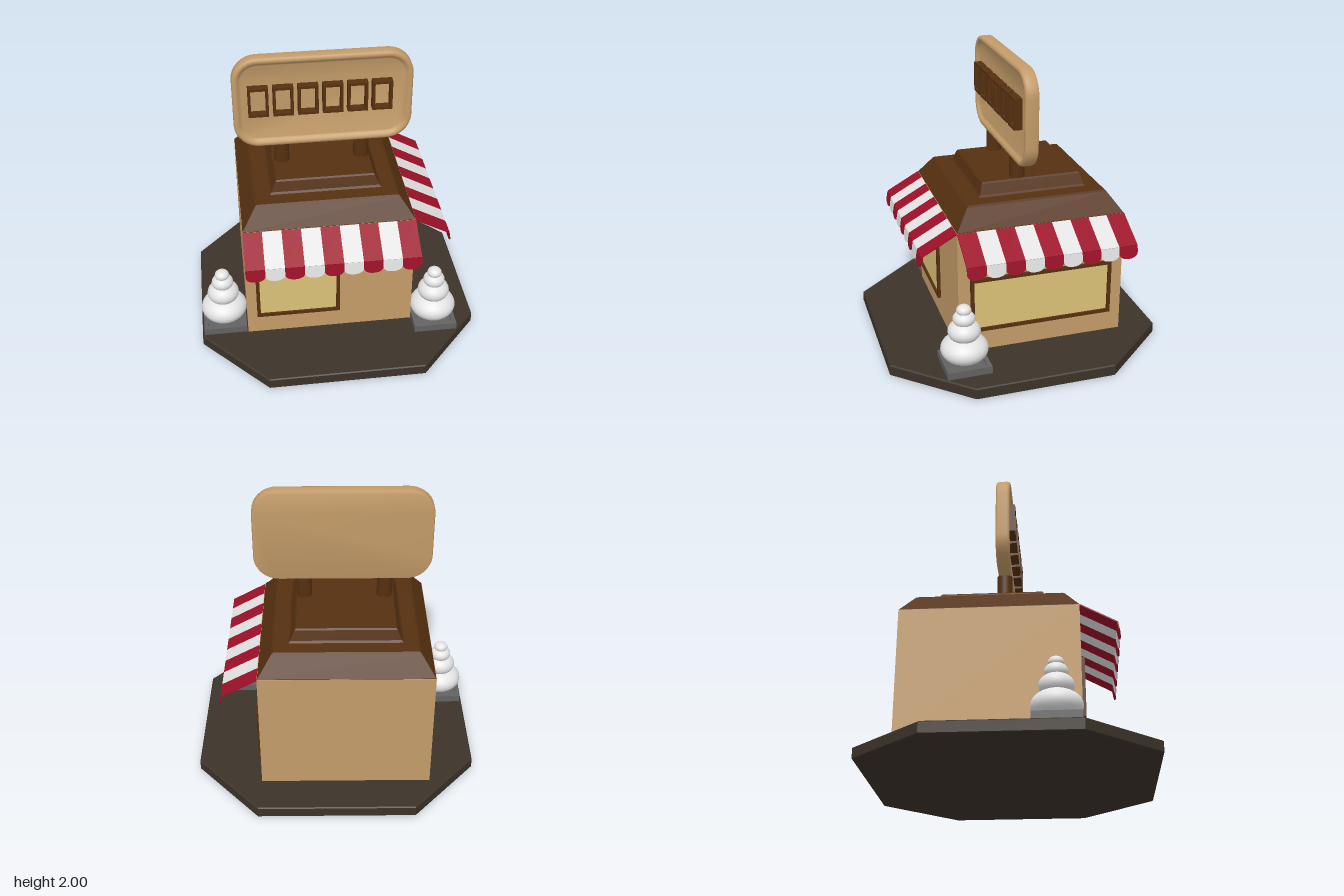
import * as THREE from 'three';
import { toCreasedNormals } from 'three/addons/utils/BufferGeometryUtils.js';

const mat = (name, color, side = THREE.FrontSide) => {
  const m = new THREE.MeshStandardMaterial({ color, side });
  m.name = name;
  return m;
};

// Rounded or chamfered rectangle at height z, counter-clockwise; n points per corner.
function ring(x0, x1, y0, y1, z, rx = 0, ry = rx, n = 1) {
  const pts = [];
  const corners = [[x1 - rx, y1 - ry], [x0 + rx, y1 - ry], [x0 + rx, y0 + ry], [x1 - rx, y0 + ry]];
  corners.forEach(([cx, cy], k) => {
    for (let i = 0; i < n; i++) {
      const a = (k + (n > 1 ? i / (n - 1) : 0.5)) * Math.PI / 2;
      pts.push([cx + rx * Math.cos(a), cy + ry * Math.sin(a), z]);
    }
  });
  return pts;
}

// Closed solid through a stack of rings.
function loft(rings, crease = 0.6) {
  const p = [];
  const tri = (a, b, c) => p.push(...a, ...b, ...c);
  const n = rings[0].length, last = rings[rings.length - 1];
  for (let i = 0; i + 1 < rings.length; i++) {
    for (let j = 0; j < n; j++) {
      const k = (j + 1) % n, lo = rings[i], hi = rings[i + 1];
      tri(lo[j], lo[k], hi[k]);
      tri(lo[j], hi[k], hi[j]);
    }
  }
  for (let j = 1; j + 1 < n; j++) {
    tri(rings[0][0], rings[0][j + 1], rings[0][j]);
    tri(last[0], last[j], last[j + 1]);
  }
  const g = new THREE.BufferGeometry();
  g.setAttribute('position', new THREE.Float32BufferAttribute(p, 3));
  return toCreasedNormals(g, crease);
}

// Rectangular frame centred on the origin, from z = 0 to z = depth.
function frameGeometry(w, h, border, depth) {
  const rect = (S, a, b) => new S([[-a, -b], [a, -b], [a, b], [-a, b]].map(([x, y]) => new THREE.Vector2(x, y)));
  const s = rect(THREE.Shape, w / 2, h / 2);
  s.holes.push(rect(THREE.Path, w / 2 - border, h / 2 - border));
  return new THREE.ExtrudeGeometry(s, { depth, bevelEnabled: false });
}

export function createModel() {
  const model = new THREE.Group();
  model.name = 'cornerShop';
  const tan = mat('tan wall', 0xc49c69);
  const brown = mat('dark brown wood', 0x553010);
  const ground = mat('dark ground', 0x3c3329);
  const red = mat('awning red', 0x9c1028, THREE.DoubleSide);
  const white = mat('awning white', 0xe2e2e2, THREE.DoubleSide);
  const glass = mat('yellow glass', 0xdbc279);
  const shrubWhite = mat('shrub white', 0xe4e4e4);
  const grey = mat('planter grey', 0x626262);

  const add = (parent, name, geo, material, x = 0, y = 0, z = 0) => {
    const m = new THREE.Mesh(geo, material);
    m.name = name;
    m.position.set(x, y, z);
    parent.add(m);
    return m;
  };
  const group = (name, x = 0, y = 0, z = 0, ry = 0) => {
    const g = new THREE.Group();
    g.name = name;
    g.position.set(x, y, z);
    g.rotation.y = ry;
    model.add(g);
    return g;
  };

  // Octagonal base with a small top bevel
  const oct = (d, y) => ring(-0.97 + d, 0.97 - d, -0.955 + d, 0.955 - d, y, 0.435, 0.475, 2);
  add(model, 'base', loft([oct(0.006, 0), oct(0, 0.006), oct(0, 0.073), oct(0.007, 0.08)], 0.3).rotateX(-Math.PI / 2), ground);

  // Building, centred at (cx, cz)
  const cx = -0.065, cz = -0.11, W = 1.165, D = 1.165;
  add(model, 'walls', new THREE.BoxGeometry(W, 0.885, D), tan, cx, 0.5225, cz);

  // Stepped hip roof: half width, half depth, height
  const steps = [[0.58, 0.58, 0.962], [0.58, 0.58, 0.968], [0.488, 0.488, 1.098], [0.475, 0.475, 1.108],
    [0.378, 0.378, 1.11], [0.366, 0.366, 1.122], [0.337, 0.345, 1.19], [0.328, 0.336, 1.2]];
  add(model, 'roof', loft(steps.map(([a, b, y]) => ring(-a, a, -b, b, y)), 0.2).rotateX(-Math.PI / 2), brown, cx, 0, cz);

  // Windows
  function addWindow(name, w, x, z, ry) {
    const g = group(name, x, 0.428, z, ry);
    add(g, 'windowFrame', frameGeometry(w, 0.395, 0.024, 0.022), brown);
    add(g, 'windowPane', new THREE.BoxGeometry(w - 0.046, 0.349, 0.008), glass, 0, 0, 0.004);
  }
  addWindow('frontWindow', 0.58, -0.288, 0.4725, 0);
  addWindow('sideWindow', 1.0, 0.5175, -0.11, Math.PI / 2);

  // Awnings: nine stripes, each a slope and a scalloped flap
  const sw = W / 9, hw = sw / 2, run = 0.235, drop = 0.13;
  const slope = new THREE.BoxGeometry(sw, 0.008, Math.hypot(run, drop));
  slope.rotateX(Math.atan2(drop, run)).translate(0, -drop / 2, run / 2);
  const scallop = new THREE.Shape();
  scallop.moveTo(-hw, 0);
  scallop.lineTo(-hw, -0.045);
  scallop.bezierCurveTo(-hw, -0.07, -hw * 0.6, -0.086, 0, -0.086);
  scallop.bezierCurveTo(hw * 0.6, -0.086, hw, -0.07, hw, -0.045);
  scallop.lineTo(hw, 0);
  const flap = new THREE.ExtrudeGeometry(scallop, { depth: 0.008, bevelEnabled: false, curveSegments: 6 });
  flap.translate(0, 0, -0.004).rotateX(-0.17).translate(0, -drop, run);
  function addAwning(name, x, z, ry) {
    const g = group(name, x, 0.963, z, ry);
    for (let i = 0; i < 9; i++) {
      const m = i % 2 ? white : red;
      add(g, 'awningStripe', slope, m, (i - 4) * sw);
      add(g, 'awningFlap', flap, m, (i - 4) * sw);
    }
  }
  addAwning('frontAwning', cx, 0.4725, 0);
  addAwning('sideAwning', 0.5175, cz, Math.PI / 2);

  // Sign board with a raised rounded rim: inset, z
  const sign = group('sign');
  const rim = [[0.018, -0.07], [0.005, -0.065], [0, -0.052], [0, 0.006], [0.005, 0.019], [0.018, 0.025],
    [0.032, 0.023], [0.042, 0.014], [0.05, 0.004], [0.06, 0]];
  add(sign, 'signBoard', loft(rim.map(([d, z]) =>
    ring(-0.65 + d, 0.55 - d, 1.34 + d, 2 - d, z, 0.17 - d, 0.17 - d, 9)), 0.8), tan);
  for (let i = 0; i < 6; i++) {
    add(sign, 'signFrame', frameGeometry(0.135, 0.21, 0.018, 0.056), brown, -0.482 + i * 0.1645, 1.695, -0.001);
  }
  for (const x of [-0.335, 0.213]) {
    add(sign, 'signPost', new THREE.CylinderGeometry(0.052, 0.052, 0.16, 24), brown, x, 1.265, -0.027);
  }

  // Tiered shrubs in square planters: radius, half height, centre height
  const tiers = [[0.16, 0.1, 0.213], [0.11, 0.078, 0.342], [0.075, 0.055, 0.433], [0.05, 0.037, 0.495]];
  for (const [x, z] of [[-0.805, 0.318], [0.672, 0.476]]) {
    const g = group('planter', x, 0, z);
    add(g, 'planterRim', frameGeometry(0.3, 0.3, 0.03, 0.05).rotateX(-Math.PI / 2), grey, 0, 0.08, 0);
    add(g, 'planterFill', new THREE.BoxGeometry(0.25, 0.036, 0.25), grey, 0, 0.098, 0);
    for (const [r, h, y] of tiers) {
      add(g, 'shrubTier', new THREE.SphereGeometry(r, 32, 16).scale(1, h / r, 1), shrubWhite, 0, y, 0);
    }
  }
  return model;
}
